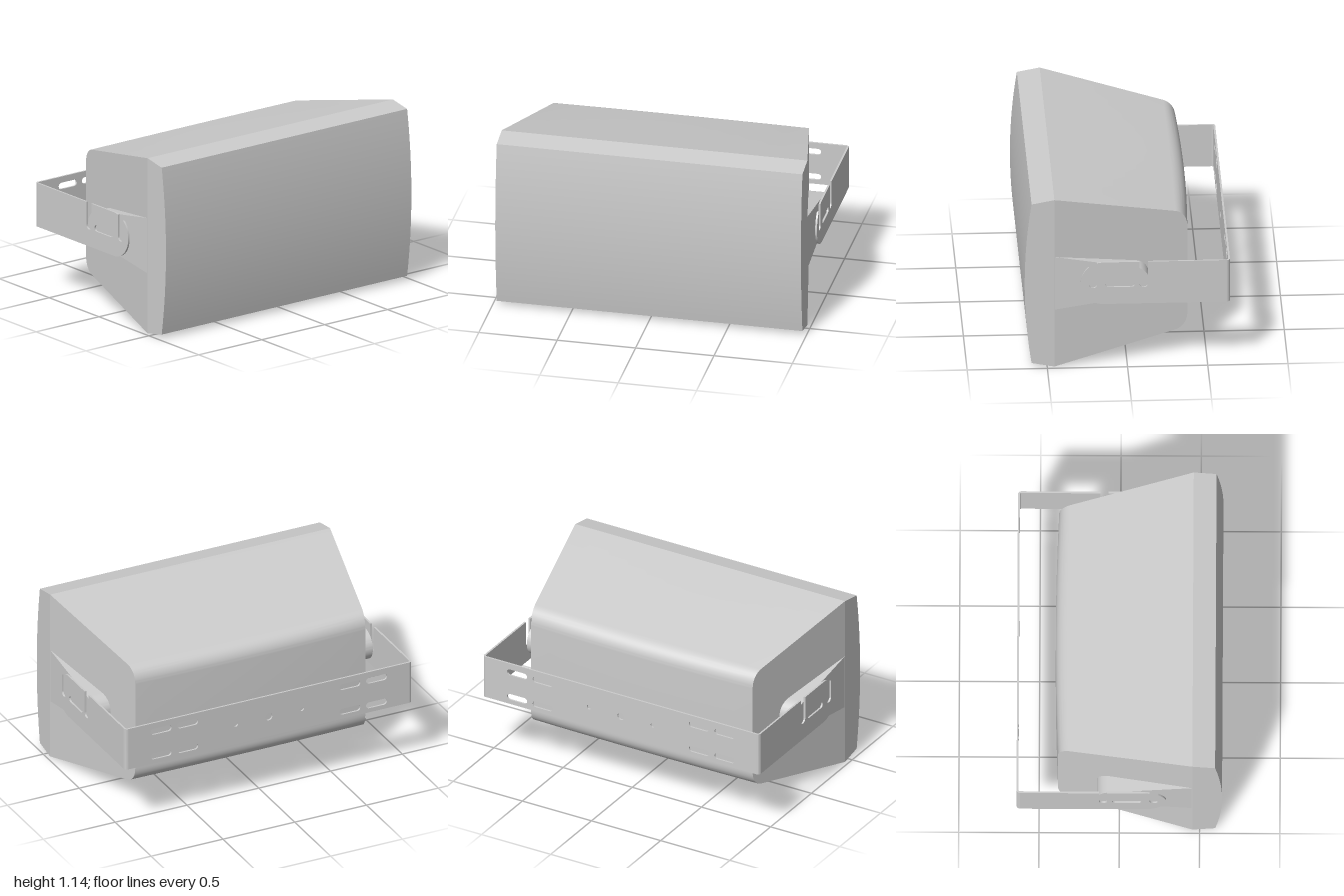
import * as THREE from 'three';
import { toCreasedNormals } from 'three/addons/utils/BufferGeometryUtils.js';

const MID = 0.572;                 // height of the horizontal centre line
const material = new THREE.MeshStandardMaterial({ color: 0xcccccc });

function addMesh(parent, name, geometry, crease = 0.5) {
  const mesh = new THREE.Mesh(toCreasedNormals(geometry, crease), material);
  mesh.name = name;
  parent.add(mesh);
  return mesh;
}

// Extrudes a (z, y) side outline along x, between x0 and x1
function extrudeSide(shape, x0, x1, steps = 1) {
  const geo = new THREE.ExtrudeGeometry(shape, { depth: x1 - x0, steps, bevelEnabled: false, curveSegments: 16 });
  return geo.rotateY(-Math.PI / 2).translate(x1, 0, 0);
}

// Rounded slot, or a round hole when length equals height
function slotPath(x, y, length, height) {
  const r = height / 2, d = length / 2 - r;
  const path = new THREE.Path();
  path.absarc(x + d, y, r, -Math.PI / 2, Math.PI / 2);
  path.absarc(x - d, y, r, Math.PI / 2, Math.PI * 1.5);
  path.closePath();
  return path;
}

// Half width of the cabinet at a given depth
const halfWidth = (z) => 0.975 - Math.max(0, 0.455 - z) * 0.208;

function createCabinet(group) {
  // Bowed front with chamfered top and bottom
  const front = new THREE.Shape();
  front.moveTo(0.455, 0);
  front.lineTo(0.595, MID - 0.545);
  front.absarc(-2.835, MID, 3.475, -0.1575, 0.1575);
  front.lineTo(0.455, 2 * MID);
  front.closePath();
  addMesh(group, 'frontBaffle', extrudeSide(front, -0.975, 0.975));

  // Rear shell, tapered in plan and slightly bowed at the back
  const rear = new THREE.Shape();
  rear.moveTo(0.455, 0);
  rear.lineTo(0.455, 2 * MID);
  rear.lineTo(-0.31, 0.979);
  rear.bezierCurveTo(-0.365, 0.967, -0.4, 0.925, -0.4, 0.87);
  rear.lineTo(-0.4, 2 * MID - 0.87);
  rear.bezierCurveTo(-0.4, 2 * MID - 0.925, -0.365, 2 * MID - 0.967, -0.31, 2 * MID - 0.979);
  rear.closePath();
  const geo = extrudeSide(rear, -1, 1, 12);
  const pos = geo.attributes.position;
  for (let i = 0; i < pos.count; i++) {
    const t = pos.getX(i);
    let z = pos.getZ(i);
    z += 0.018 * t * t * THREE.MathUtils.clamp((-0.3 - z) / 0.1, 0, 1);
    pos.setXYZ(i, t * halfWidth(z), pos.getY(i), z);
  }
  addMesh(group, 'rearShell', geo);
}

function createBosses(group) {
  // Wedge with a round rear end that carries the bracket on each side
  const a = 0.159, r = 0.1;
  const shape = new THREE.Shape();
  shape.moveTo(0.45, MID - 0.18);
  shape.lineTo(0.45, MID + 0.18);
  shape.absarc(-0.04, MID, r, Math.PI / 2 + a, Math.PI * 1.5 - a);
  shape.closePath();
  addMesh(group, 'leftMountBoss', extrudeSide(shape, 0.78, 0.975));
  addMesh(group, 'rightMountBoss', extrudeSide(shape, -0.975, -0.78));
}

function createBracket(group) {
  const bracket = new THREE.Group();
  bracket.name = 'wallBracket';
  group.add(bracket);
  const y0 = 0.435, y1 = 0.72, yc = (y0 + y1) / 2, thick = 0.012, bend = 0.022;
  const back = -0.64, armR = (y1 - y0) / 2, armZ = 0.15;

  // Arm with round end, two open notches and one closed slot
  const arm = new THREE.Shape();
  const angleAt = (z) => Math.acos((z - armZ) / armR);
  arm.moveTo(back + bend, y0);
  arm.lineTo(armZ, y0);
  arm.absarc(armZ, yc, armR, -Math.PI / 2, angleAt(0.241));
  arm.absarc(0.215, 0.571, 0.026, 0, -Math.PI, true);
  arm.absarc(armZ, yc, armR, angleAt(0.189), Math.PI / 2);
  arm.lineTo(-0.075, y1);
  arm.absarc(-0.101, 0.571, 0.026, 0, -Math.PI, true);
  arm.lineTo(-0.127, y1);
  arm.lineTo(back + bend, y1);
  arm.closePath();
  arm.holes.push(slotPath(0.047, 0.57, 0.185, 0.04));
  addMesh(bracket, 'leftArm', extrudeSide(arm, 1 - thick, 1));
  addMesh(bracket, 'rightArm', extrudeSide(arm, -1, thick - 1));

  // Back plate with fixing slots and three round holes
  const w = 1 - bend;
  const plate = new THREE.Shape();
  plate.moveTo(-w, y0);
  plate.lineTo(w, y0);
  plate.lineTo(w, y1);
  plate.lineTo(-w, y1);
  plate.closePath();
  for (const x of [-0.75, -0.565, 0.565, 0.75])
    for (const dy of [-0.087, 0.087]) plate.holes.push(slotPath(x, MID + dy, 0.145, 0.042));
  for (const [x, d] of [[-0.23, 0.03], [0, 0.05], [0.23, 0.03]]) plate.holes.push(slotPath(x, MID, d, d));
  const plateGeo = new THREE.ExtrudeGeometry(plate, { depth: thick, bevelEnabled: false, curveSegments: 10 });
  addMesh(bracket, 'backPlate', plateGeo.translate(0, 0, back));

  // Rounded bends joining plate and arms
  for (const side of [1, -1]) {
    const start = side > 0 ? 0 : Math.PI / 2;
    const ring = new THREE.Shape();
    ring.absarc(0, 0, bend, start, start + Math.PI / 2);
    ring.absarc(0, 0, bend - thick, start + Math.PI / 2, start, true);
    ring.closePath();
    const geo = new THREE.ExtrudeGeometry(ring, { depth: y1 - y0, bevelEnabled: false, curveSegments: 8 });
    geo.rotateX(-Math.PI / 2).translate(side * w, y0, back + bend);
    addMesh(bracket, side > 0 ? 'leftBend' : 'rightBend', geo);
  }
}

export function createModel() {
  const group = new THREE.Group();
  group.name = 'wallSpeaker';
  createCabinet(group);
  createBosses(group);
  createBracket(group);
  return group;
}
